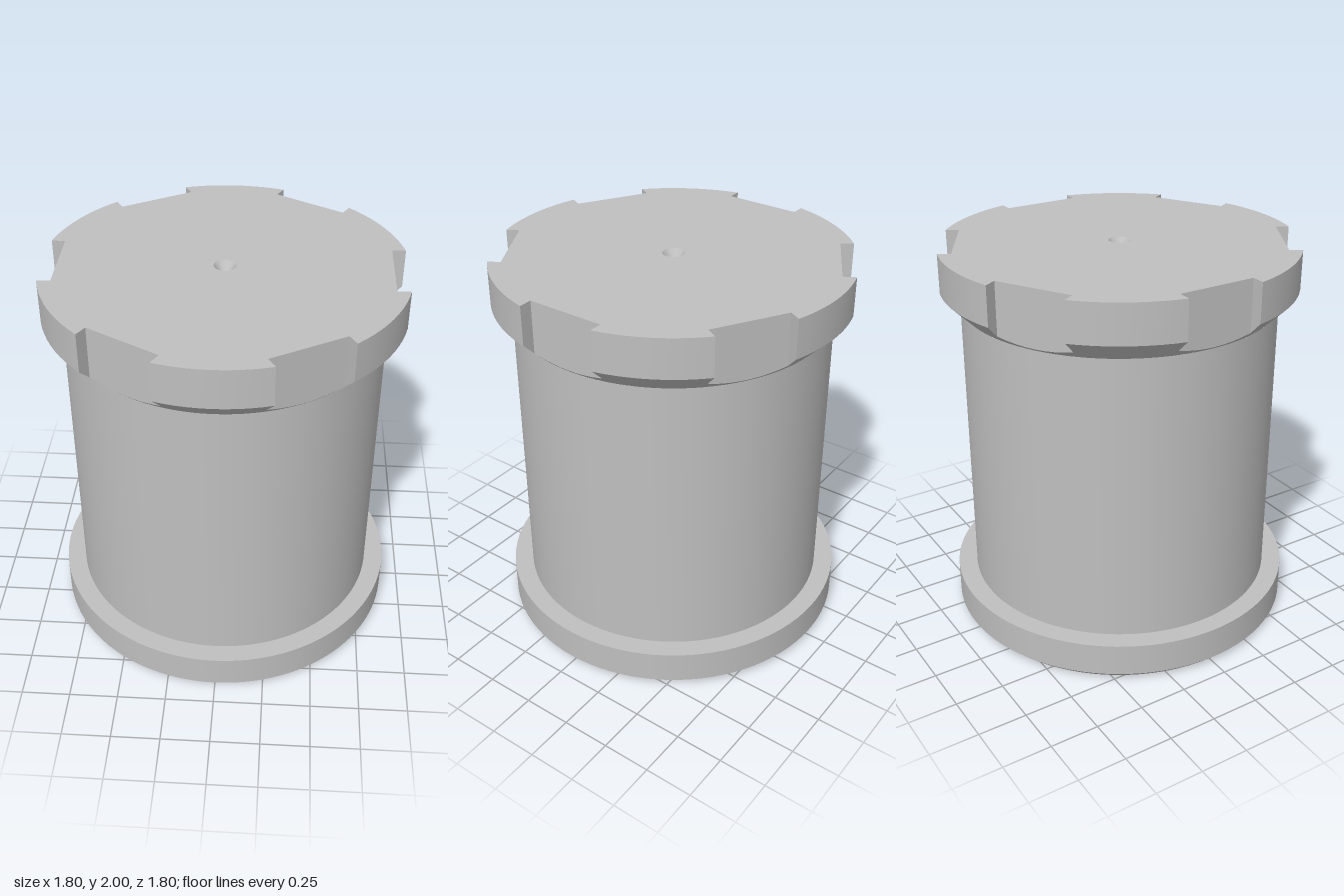
import * as THREE from 'three';
import { toCreasedNormals } from 'three/addons/utils/BufferGeometryUtils.js';

const BODY_R = 0.8, RIM_R = 0.9, FLAT = 0.81, HALF = 0.2; // radii, notch flat distance, notch half width
const NECK_Y = 1.7, TOP_Y = 2, SEGMENTS = 96, CREASE = 0.5;

const steel = new THREE.MeshStandardMaterial({ color: 0xbfbfbf });
steel.name = 'steel grey';

function lathe(profile, segments = SEGMENTS) {
  const points = profile.map(([r, y]) => new THREE.Vector2(r, y));
  return toCreasedNormals(new THREE.LatheGeometry(points, segments), CREASE);
}

// Rim outline as pairs: a point on the rim edge and its foot on the neck circle
function rimOutline() {
  const loop = [], up = new THREE.Vector3(0, 1, 0);
  const add = (k, x, z, footX, footZ) => {
    const turn = -k * Math.PI / 3;
    loop.push({
      edge: new THREE.Vector3(x, NECK_Y + Math.hypot(x, z) - BODY_R, z).applyAxisAngle(up, turn),
      foot: new THREE.Vector3(footX, NECK_Y, footZ).applyAxisAngle(up, turn),
    });
  };
  const outer = Math.asin(HALF / RIM_R), inner = Math.asin(HALF / BODY_R);
  for (let k = 0; k < 6; k++) {
    // flat floor of the notch
    for (let i = 0; i <= 8; i++) {
      const z = HALF * (i / 4 - 1);
      add(k, FLAT, z, Math.sqrt(BODY_R ** 2 - z * z), z);
    }
    // round land up to the next notch
    for (let i = 0; i <= 10; i++) {
      const a = THREE.MathUtils.lerp(outer, Math.PI / 3 - outer, i / 10);
      const b = THREE.MathUtils.lerp(inner, Math.PI / 3 - inner, i / 10);
      add(k, RIM_R * Math.cos(a), RIM_R * Math.sin(a), BODY_R * Math.cos(b), BODY_R * Math.sin(b));
    }
  }
  return loop;
}

// Strip of quads between a lower and an upper loop
function strip(lower, upper) {
  const points = [];
  lower.forEach((a, i) => {
    const j = (i + 1) % lower.length;
    if (a.distanceTo(lower[j]) > 1e-6) points.push(a, upper[i], lower[j]);
    points.push(lower[j], upper[i], upper[j]);
  });
  return toCreasedNormals(new THREE.BufferGeometry().setFromPoints(points), CREASE);
}

// Strip for the cone, skipping the radial notch sides, which have no width there
function coneStrip(loop) {
  const points = [];
  loop.forEach((p, i) => {
    const q = loop[(i + 1) % loop.length];
    if (p.foot.distanceTo(q.foot) < 1e-4) return;
    points.push(p.foot, p.edge, q.foot, q.foot, p.edge, q.edge);
  });
  return toCreasedNormals(new THREE.BufferGeometry().setFromPoints(points), CREASE);
}

export function createModel() {
  const group = new THREE.Group();
  const add = (name, geometry) => {
    const mesh = new THREE.Mesh(geometry, steel);
    mesh.name = name;
    group.add(mesh);
  };

  // Bottom bore, chamfered base flange and cylinder body
  add('bore', lathe([[0, 0.45], [0.09, 0.4], [0.09, 0.025], [0.114, 0]], 48));
  add('baseFlange', lathe([[0.114, 0], [0.87, 0], [RIM_R, 0.03], [RIM_R, 0.2], [BODY_R, 0.2]]));
  add('body', lathe([[BODY_R, 0.2], [BODY_R, NECK_Y]]));

  // Notched rim with its cone underside
  const loop = rimOutline();
  const edges = loop.map((p) => p.edge);
  add('rimUnderside', coneStrip(loop));
  add('notchedRim', strip(edges, edges.map((p) => new THREE.Vector3(p.x, TOP_Y, p.z))));

  // Top face with a small centre hole
  const face = new THREE.Shape(edges.map((p) => new THREE.Vector2(p.x, -p.z)));
  face.holes.push(new THREE.Path().absarc(0, 0, 0.055, 0, Math.PI * 2, true));
  add('topFace', new THREE.ShapeGeometry(face, 24).rotateX(-Math.PI / 2).translate(0, TOP_Y, 0));
  add('centreHole', lathe([[0.055, TOP_Y], [0.012, 1.94], [0.012, 1.9], [0, 1.9]], 48));

  return group;
}
